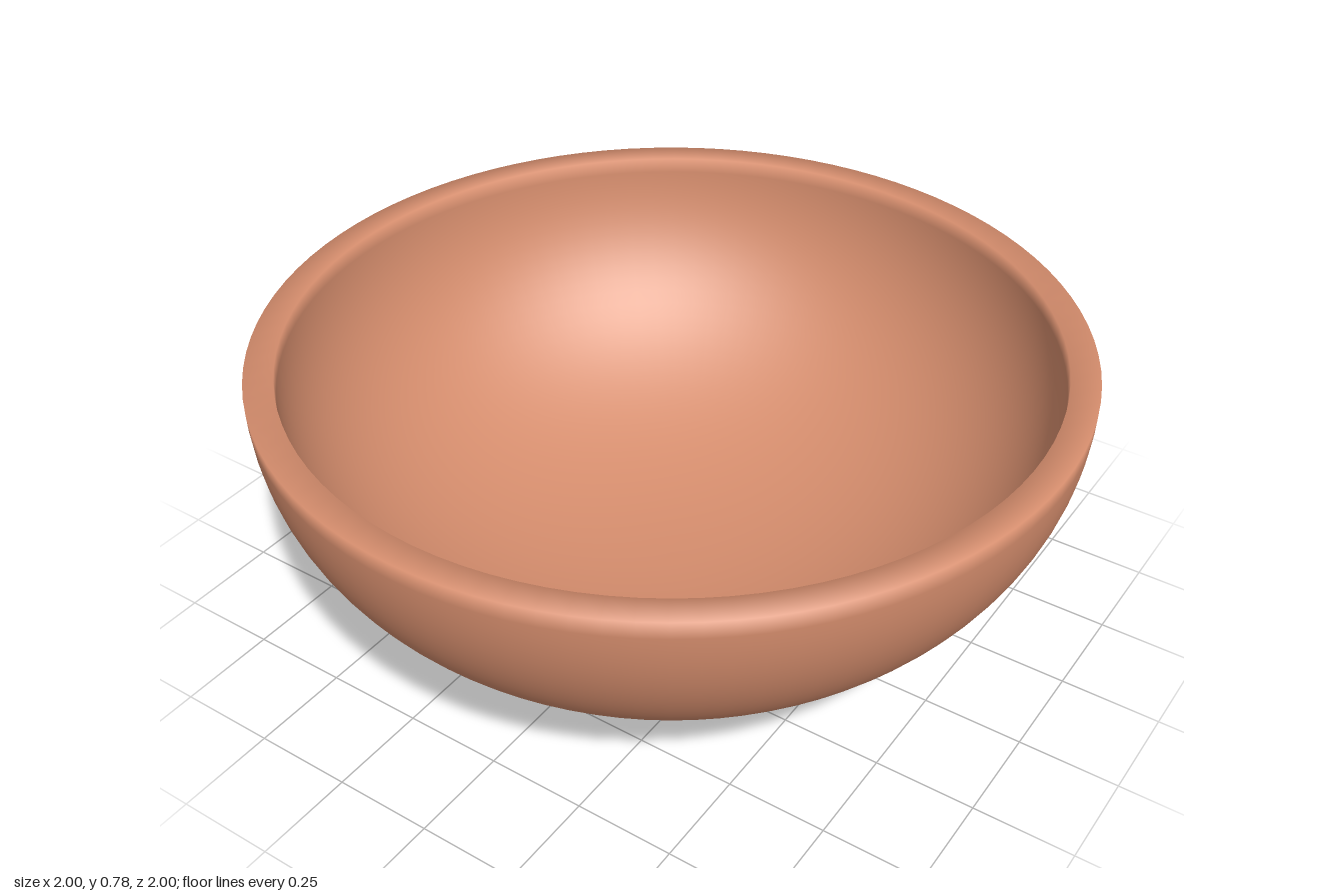
import * as THREE from 'three';

const RIM_Y = 0.78;

// Quarter superellipse hanging below the rim, from the bottom centre to the rim
function bowlCurve(radius, depth, steps = 32) {
  const e = 2 / 2.15;
  const points = [];
  for (let i = 0; i <= steps; i++) {
    const a = (i / steps) * Math.PI / 2;
    const x = i === 0 ? 0 : radius * Math.pow(Math.sin(a), e);
    const y = i === steps ? 0 : depth * Math.pow(Math.cos(a), e);
    points.push(new THREE.Vector2(x, RIM_Y - y));
  }
  return points;
}

export function createModel() {
  const group = new THREE.Group();
  group.name = 'bowl';
  const clay = new THREE.MeshStandardMaterial({ color: 0xd58d6d });

  // Bowl wall: outside going up, over the flat rim, then down the inside
  const outer = bowlCurve(1, 0.727);
  const inner = bowlCurve(0.93, 0.657).reverse();
  const wall = new THREE.Mesh(new THREE.LatheGeometry([...outer, ...inner], 96), clay);
  wall.name = 'bowlWall';
  group.add(wall);

  // Solid foot, running up into the underside of the bowl
  const footHeight = 0.115;
  const foot = new THREE.Mesh(new THREE.CylinderGeometry(0.42, 0.42, footHeight, 96), clay);
  foot.name = 'foot';
  foot.position.y = footHeight / 2;
  group.add(foot);

  return group;
}
